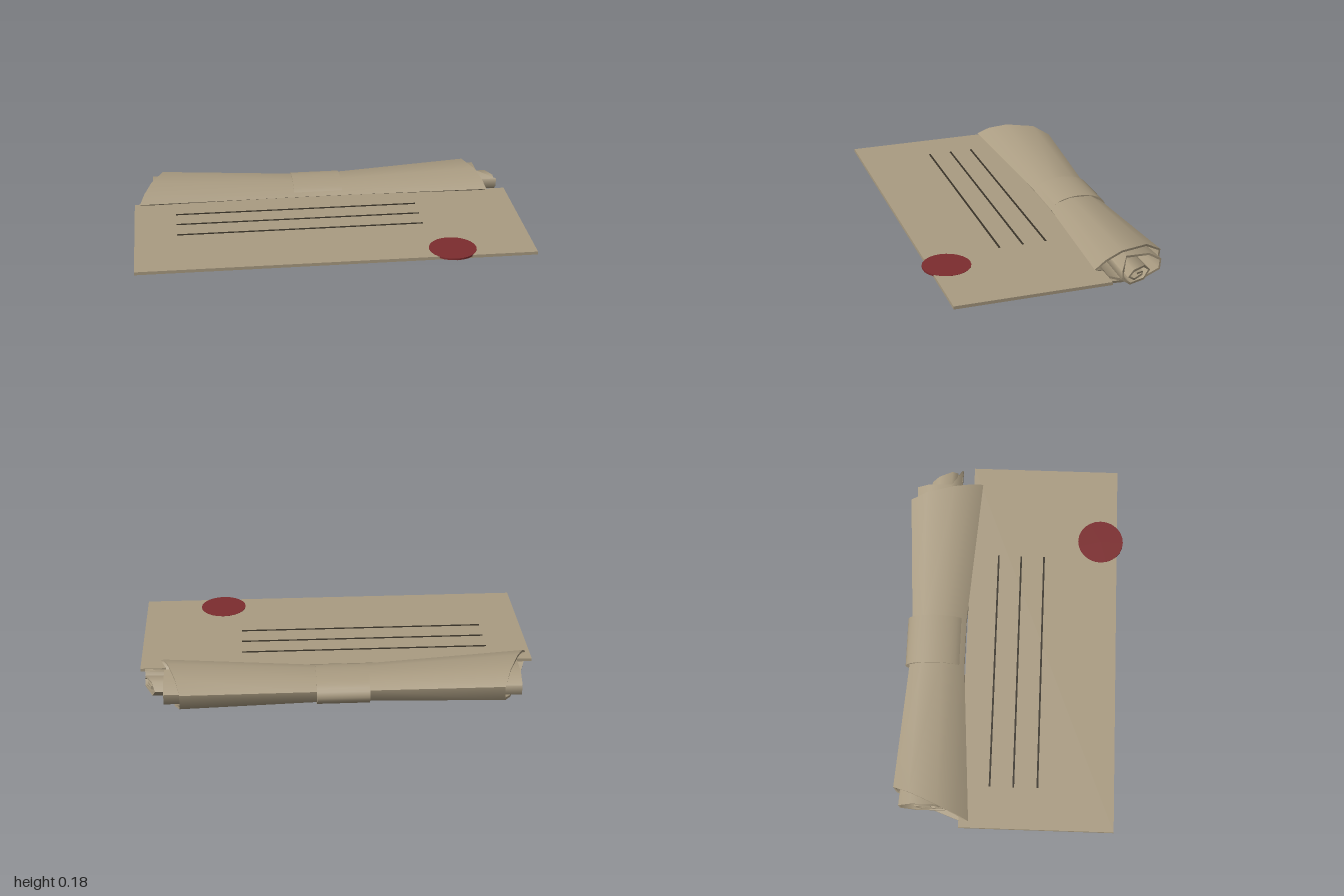
import * as THREE from 'three';
import { toCreasedNormals } from 'three/addons/utils/BufferGeometryUtils.js';

const paper = new THREE.MeshStandardMaterial({ name: 'parchment', color: 0xaa9c82 });
const ink = new THREE.MeshStandardMaterial({ name: 'ink', color: 0x3a3429 });
const wax = new THREE.MeshStandardMaterial({ name: 'sealing wax', color: 0x7c2c2e });

function add(group, name, geometry, material, x = 0, y = 0, z = 0) {
  const mesh = new THREE.Mesh(geometry, material);
  mesh.name = name;
  mesh.position.set(x, y, z);
  group.add(mesh);
  return mesh;
}

// Spiral of the rolled sheet at its flared ends, outside to inside, as [z, y]
const spiral = [
  [-0.19, 0.07], [-0.25, 0.03], [-0.345, 0.008], [-0.465, 0.005], [-0.565, 0.045],
  [-0.575, 0.125], [-0.49, 0.175], [-0.345, 0.18], [-0.25, 0.155], [-0.19, 0.12],
  [-0.235, 0.093], [-0.265, 0.055], [-0.34, 0.027], [-0.46, 0.024], [-0.54, 0.06],
  [-0.545, 0.115], [-0.48, 0.155], [-0.36, 0.158], [-0.3, 0.13], [-0.3, 0.085],
  [-0.34, 0.055], [-0.43, 0.05], [-0.468, 0.09], [-0.43, 0.127], [-0.36, 0.127],
  [-0.33, 0.095], [-0.365, 0.07], [-0.42, 0.078], [-0.42, 0.1], [-0.385, 0.105],
];
const OUTER = 10; // points in the outermost turn
const CENTRE_Z = -0.39, CENTRE_Y = 0.09;

// The ends are cut at a slant and the inner turns slip outwards
function endX(k, z, side) {
  if (side < 0) return k < OUTER ? -0.81 - (z + 0.575) * 0.42 : -0.9;
  if (k < OUTER) return 0.79 + (z + 0.575) * 0.27;
  return k < 18 ? 0.87 : Math.min(0.97, 0.9 + (z + 0.5) * 0.45);
}

function rollGeometry() {
  const n = spiral.length, thick = 0.011;
  // Closed outline: outer face, then inner face backwards
  const inner = spiral.map(([z, y], k) => {
    const a = spiral[Math.max(k - 1, 0)], b = spiral[Math.min(k + 1, n - 1)];
    const dz = b[0] - a[0], dy = b[1] - a[1], l = Math.hypot(dz, dy);
    return [z + (dy / l) * thick, y - (dz / l) * thick];
  });
  const loop = [...spiral, ...inner.reverse()], m = loop.length;

  // Pinched waist between two flared ends
  const stations = [{ side: -1 }, { waist: -0.14 }, { waist: 0.11 }, { side: 1 }];
  const positions = [], index = [];
  for (const { side, waist } of stations) {
    loop.forEach(([z, y], j) => {
      const k = j < n ? j : m - 1 - j;
      if (side) positions.push(endX(k, spiral[k][0], side), y, z);
      else positions.push(waist, 0.075 + (y - CENTRE_Y) * 0.76, CENTRE_Z - 0.005 + (z - CENTRE_Z) * 0.74);
    });
  }
  for (let i = 0; i < stations.length - 1; i++) {
    for (let j = 0; j < m; j++) {
      const a = i * m + j, b = i * m + (j + 1) % m;
      index.push(a, b, b + m, a, b + m, a + m);
    }
  }
  // Paper edges at both ends
  const last = (stations.length - 1) * m;
  for (let k = 0; k < n - 1; k++) {
    const a = k, b = k + 1, c = m - 2 - k, d = m - 1 - k;
    index.push(last + a, last + b, last + c, last + a, last + c, last + d);
    index.push(a, c, b, a, d, c);
  }
  const geometry = new THREE.BufferGeometry();
  geometry.setAttribute('position', new THREE.Float32BufferAttribute(positions, 3));
  geometry.setIndex(index);
  return toCreasedNormals(geometry, 1.1);
}

export function createModel() {
  const group = new THREE.Group();
  group.name = 'letterAndScroll';

  // Flat letter with three lines of writing
  add(group, 'letterSheet', new THREE.BoxGeometry(2, 0.016, 0.78), paper, 0, 0.092, 0.15);
  for (const z of [-0.09, 0.03, 0.152]) {
    add(group, 'inkLine', new THREE.BoxGeometry(1.27, 0.004, 0.009), ink, -0.15, 0.101, z);
  }

  // Wax seal overhanging the front edge
  add(group, 'waxSeal', new THREE.CylinderGeometry(0.12, 0.12, 0.009, 24), wax, 0.585, 0.0965, 0.453);

  // Rolled scroll and the band round its waist
  add(group, 'rolledScroll', rollGeometry(), paper);
  const band = new THREE.CylinderGeometry(1, 1, 0.262, 32).rotateZ(Math.PI / 2).scale(1, 0.075, 0.152);
  add(group, 'scrollBand', band, paper, -0.014, 0.075, -0.403);

  return group;
}
